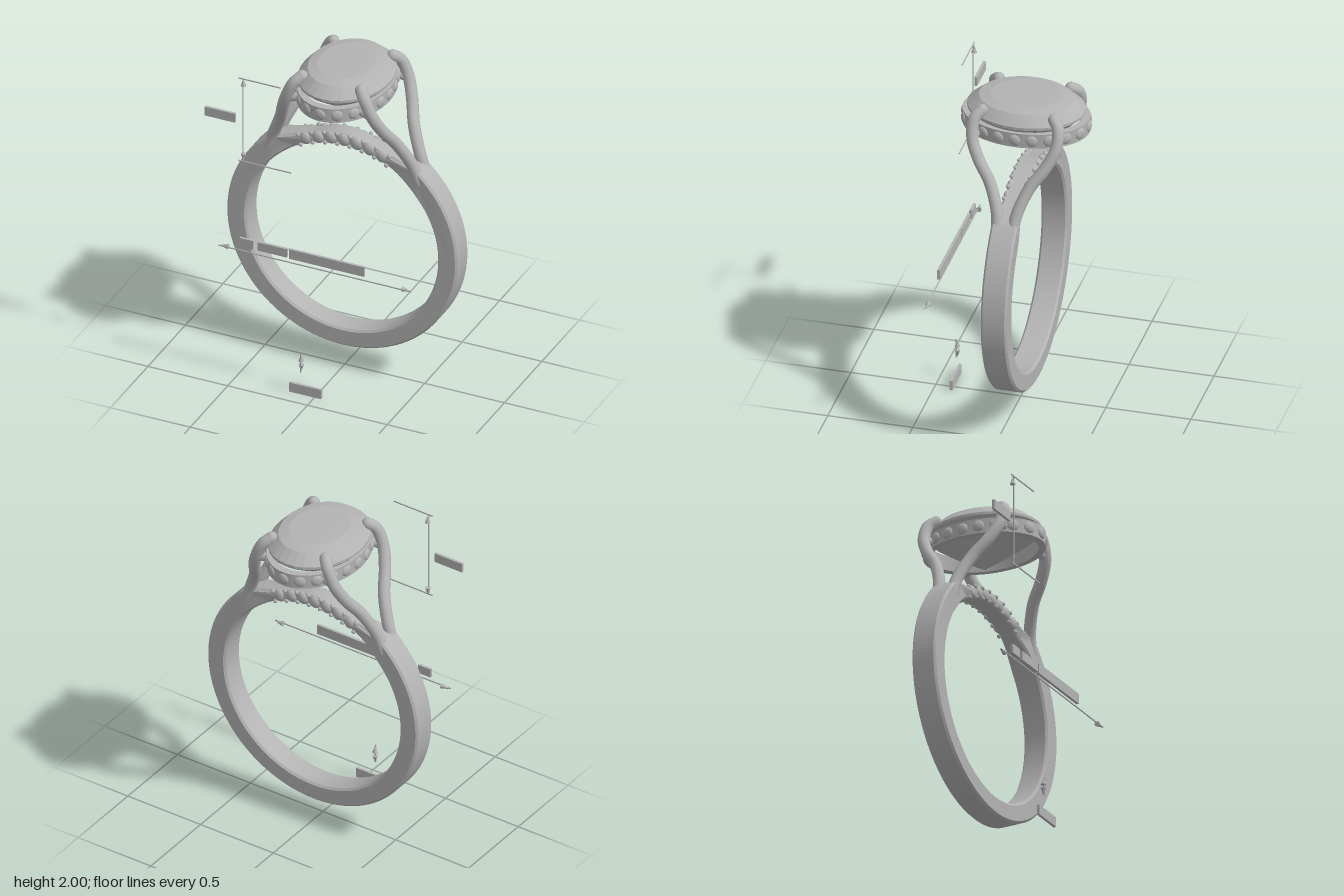
import * as THREE from 'three';
import { toCreasedNormals } from 'three/addons/utils/BufferGeometryUtils.js';

const CZ = -0.033; // middle plane of the ring

export function createModel() {
  const root = new THREE.Group();
  root.name = 'ring';
  const metal = new THREE.MeshStandardMaterial({ color: 0xb3b3b3 });
  metal.name = 'grey metal';

  const add = (name, geo, parent = root, x = 0, y = 0, z = 0) => {
    const m = new THREE.Mesh(geo, metal);
    m.name = name;
    m.position.set(x, y, z);
    parent.add(m);
    return m;
  };
  const group = (name) => {
    const g = new THREE.Group();
    g.name = name;
    root.add(g);
    return g;
  };

  // Band: round hoop with flattened shoulders rising to a thin bridge
  const top = [[-0.47, 1.416], [-0.3, 1.464], [-0.2, 1.49], [-0.1, 1.522], [0, 1.535]];
  const crest = [...top, ...top.slice(0, -1).reverse().map(([x, y]) => [-x, y])];
  const shape = new THREE.Shape();
  const a = Math.atan2(1.416 - 0.868, 0.47);
  shape.absarc(0, 0.868, 0.722, Math.PI - a, a + Math.PI * 2, false);
  shape.splineThru(crest.slice(0, -1).reverse().map(([x, y]) => new THREE.Vector2(x, y)));
  const hole = new THREE.Path();
  hole.absarc(0, 0.86, 0.6, 0, Math.PI * 2, true);
  shape.holes.push(hole);
  const bevel = 0.012;
  const bandGeo = new THREE.ExtrudeGeometry(shape, {
    depth: 0.153 - 2 * bevel, curveSegments: 64, bevelEnabled: true, bevelSegments: 1,
    bevelSize: bevel, bevelThickness: bevel, bevelOffset: -bevel,
  });
  bandGeo.translate(0, 0, -0.0765 + bevel);
  // Narrow the band towards the bridge
  const p = bandGeo.attributes.position;
  for (let i = 0; i < p.count; i++) {
    if (p.getY(i) < 1.2) continue;
    const t = 1 - THREE.MathUtils.smoothstep(Math.abs(p.getX(i)), 0.28, 0.48);
    p.setZ(i, p.getZ(i) * (1 - 0.3 * t));
  }
  add('band', toCreasedNormals(bandGeo, 0.5), root, 0, 0, CZ);

  // Small stones and beads along both faces of the bridge
  const pave = group('bridgeStones');
  const stone = new THREE.SphereGeometry(0.038, 16, 12);
  const bead = new THREE.SphereGeometry(0.013, 10, 8);
  for (const s of [-1, 1]) {
    for (let i = -3; i <= 3; i++) {
      const x = i * 0.08;
      add('bridgeStone', stone, pave, x, 1.495 - 0.85 * x * x, CZ + s * 0.047).scale.z = 0.6;
    }
    for (let i = -3.5; i <= 3.5; i++) {
      const x = i * 0.08, y = 1.495 - 0.85 * x * x;
      add('bead', bead, pave, x * 1.02, y + 0.032, CZ + s * 0.053);
      add('bead', bead, pave, x * 0.96, y - 0.03, CZ + s * 0.053);
    }
  }

  // Four claws sweeping from the shoulders over the main stone
  const claws = group('claws');
  const path = [
    [0.475, 1.33, 0.045], [0.43, 1.45, 0.058], [0.362, 1.6, 0.118], [0.315, 1.71, 0.195],
    [0.27, 1.82, 0.245], [0.222, 1.925, 0.245], [0.185, 1.962, 0.212],
  ];
  for (const sx of [-1, 1]) for (const sz of [-1, 1]) {
    const pts = path.map(([x, y, z]) => new THREE.Vector3(sx * x, y, CZ + sz * z));
    add('claw', new THREE.TubeGeometry(new THREE.CatmullRomCurve3(pts), 40, 0.035, 14), claws);
    const tip = pts[pts.length - 1];
    add('clawTip', new THREE.SphereGeometry(0.035, 14, 10), claws, tip.x, tip.y, tip.z);
    // Short strut joining claw and halo
    const strut = new THREE.LineCurve3(pts[4], new THREE.Vector3(sx * 0.19, 1.835, CZ + sz * 0.23));
    add('strut', new THREE.TubeGeometry(strut, 1, 0.025, 12), claws);
  }

  // Oval halo with stones set around the rim
  const halo = group('halo');
  const HX = 0.265, HZ = 0.37;
  const rim = [[0.88, 1.795], [1, 1.795], [1, 1.885], [0.88, 1.885], [0.88, 1.795]];
  const haloGeo = new THREE.LatheGeometry(rim.map(([r, y]) => new THREE.Vector2(r, y)), 64);
  haloGeo.scale(HX, 1, HZ);
  add('haloRim', toCreasedNormals(haloGeo, 0.6), halo, 0, 0, CZ);
  // Space the stones evenly by arc length
  const oval = new THREE.EllipseCurve(0, 0, HX, HZ, 0, Math.PI * 2);
  const haloStone = new THREE.SphereGeometry(0.035, 16, 12);
  for (let i = 0; i < 20; i++) {
    const q = oval.getPointAt((i + 0.0) / 20);
    const m = add('haloStone', haloStone, halo, q.x * 0.99, 1.84, CZ + q.y * 0.99);
    m.rotation.y = Math.atan2(q.x / HX ** 2, q.y / HZ ** 2);
    m.scale.z = 0.45;
  }

  // Oval cut main stone
  const cut = [[0, 1.69], [0.5, 1.79], [0.92, 1.887], [1, 1.91], [1, 1.926],
    [0.8, 1.983], [0.6, 1.996], [0, 2]];
  const gemGeo = new THREE.LatheGeometry(cut.map(([r, y]) => new THREE.Vector2(r, y)), 32);
  gemGeo.scale(0.268, 1, 0.342);
  add('mainStone', toCreasedNormals(gemGeo, 0.15), root, 0, 0, CZ);

  // Measuring arrows in front of the ring
  const guides = group('measuringArrows');
  const GZ = 0.403, W = 0.006;
  const bar = (name, x0, y0, x1, y1) => add(name,
    new THREE.BoxGeometry(Math.abs(x1 - x0) + W, Math.abs(y1 - y0) + W, W),
    guides, (x0 + x1) / 2, (y0 + y1) / 2, GZ);
  const arrow = (x0, y0, x1, y1, len) => {
    bar('arrowShaft', x0, y0, x1, y1);
    const dir = new THREE.Vector2(x1 - x0, y1 - y0).normalize();
    for (const [x, y, s] of [[x0, y0, -1], [x1, y1, 1]]) {
      const h = add('arrowHead', new THREE.ConeGeometry(0.016, len, 12), guides,
        x - s * dir.x * len / 2, y - s * dir.y * len / 2, GZ - 0.007);
      h.rotation.z = Math.atan2(s * dir.y, s * dir.x) - Math.PI / 2;
    }
  };
  arrow(-0.45, 1.447, -0.45, 1.997, 0.05);
  arrow(-0.6, 0.855, 0.6, 0.855, 0.055);
  arrow(-0.087, 0.147, -0.087, 0.26, 0.045);
  bar('extensionLine', -0.475, 1.997, -0.215, 1.997);
  bar('extensionLine', -0.475, 1.45, -0.15, 1.45);

  // Blank label plates beside the arrows: x, y, width, height
  for (const [x, y, w, h] of [
    [-0.593, 1.725, 0.19, 0.058], [-0.428, 0.912, 0.085, 0.055], [-0.265, 0.912, 0.185, 0.055],
    [0.075, 0.912, 0.47, 0.062], [-0.058, 0.03, 0.2, 0.06],
  ]) add('labelPlate', new THREE.BoxGeometry(w, h, 0.016), guides, x, y, 0.4);

  return root;
}
